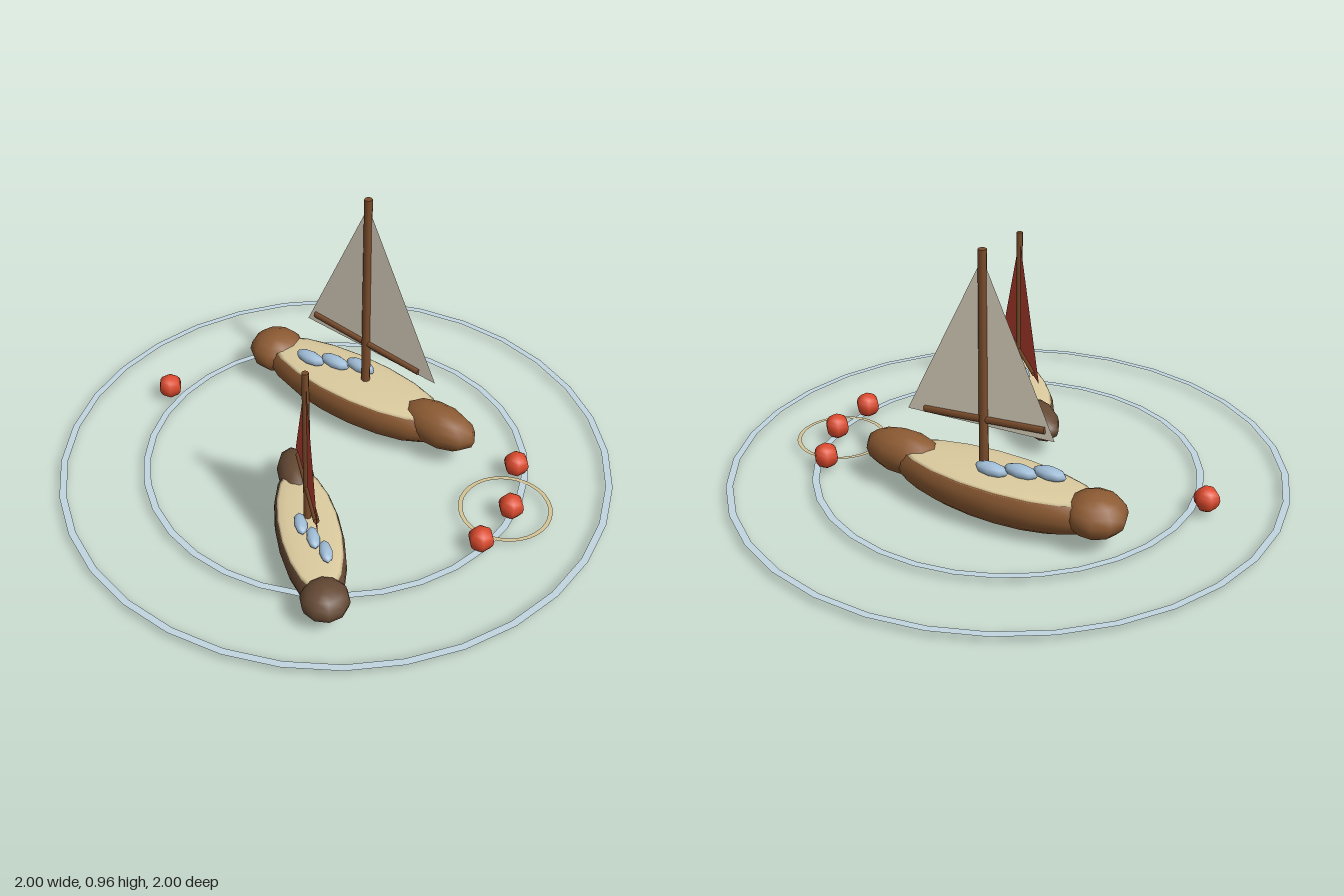
import * as THREE from 'three';

const mat = (name, color, side = THREE.FrontSide) => {
  const m = new THREE.MeshStandardMaterial({ color, side });
  m.name = name;
  return m;
};

function add(parent, name, geometry, material, x = 0, y = 0, z = 0) {
  const mesh = new THREE.Mesh(geometry, material);
  mesh.name = name;
  mesh.position.set(x, y, z);
  parent.add(mesh);
  return mesh;
}

const ellipsoid = (rx, ry, rz, w = 10, h = 8) => new THREE.SphereGeometry(1, w, h).scale(rx, ry, rz);

// One boat, long axis on local x, mast at the origin
function createBoat(name, hullMat, sailMat, mats) {
  const boat = new THREE.Group();
  boat.name = name;

  // Rounded hull cut off at deck height, with a slightly domed deck on top
  const cut = Math.acos(0.42);
  const hull = new THREE.SphereGeometry(1, 18, 8, 0, Math.PI * 2, cut, Math.PI - cut).scale(0.425, 0.12, 0.142);
  add(boat, 'hull', hull, hullMat, -0.05, 0.126, 0);
  add(boat, 'deck', ellipsoid(0.388, 0.02, 0.131, 18, 8), mats.deck, -0.05, 0.172, 0);

  // Swollen ends
  add(boat, 'roundEnd', ellipsoid(0.108, 0.077, 0.105), hullMat, -0.43, 0.134, 0);
  add(boat, 'longEnd', ellipsoid(0.16, 0.08, 0.083), hullMat, 0.33, 0.141, 0);

  // Mast and tilted boom
  add(boat, 'mast', new THREE.CylinderGeometry(0.015, 0.017, 0.785, 8), mats.wood, 0, 0.573, 0);
  const boom = add(boat, 'boom', new THREE.CylinderGeometry(0.013, 0.013, 0.475, 6), mats.wood, 0, 0.362, 0);
  boom.rotation.z = Math.PI / 2 - 0.1;

  // Triangular sail in the plane of the mast
  const sail = new THREE.Shape([
    new THREE.Vector2(-0.272, 0.352),
    new THREE.Vector2(0.308, 0.32),
    new THREE.Vector2(0, 0.935),
  ]);
  add(boat, 'sail', new THREE.ShapeGeometry(sail), sailMat);

  // Cargo lying on the deck in a diagonal row
  for (const [x, z] of [[-0.234, 0.038], [-0.145, 0], [-0.053, -0.038]]) {
    add(boat, 'cargo', ellipsoid(0.064, 0.024, 0.029, 8, 6), mats.cargo, x, 0.205, z);
  }
  return boat;
}

export function createModel() {
  const model = new THREE.Group();
  model.name = 'boatsOnWater';
  const mats = {
    deck: mat('paleWood', 0xdccb9f),
    wood: mat('mastWood', 0x7a4c2b),
    cargo: mat('paleBlue', 0xa2bfd9),
  };
  const hullBrown = mat('hullBrown', 0x8d5b33);
  const hullDark = mat('darkHullBrown', 0x654934);
  const canvas = mat('canvas', 0xe6ddc8, THREE.DoubleSide);
  const redCloth = mat('redCloth', 0xc04234, THREE.DoubleSide);
  const buoyRed = mat('buoyRed', 0xdb4a2d);
  const ripple = mat('rippleBlue', 0xc2d7e1, THREE.DoubleSide);
  const rope = mat('ropeTan', 0xd6c496, THREE.DoubleSide);

  // Large and small boat
  const large = createBoat('largeBoat', hullBrown, canvas, mats);
  large.position.set(-0.14, 0, -0.235);
  large.rotation.y = 0.29;
  const small = createBoat('smallBoat', hullDark, redCloth, mats);
  small.position.set(0.307, 0, 0.332);
  small.rotation.y = Math.PI - 0.436;
  small.scale.setScalar(0.785);
  model.add(large, small);

  // Flat water rings and the rope ring
  const ring = (name, outer, width, material, x, y, z) =>
    add(model, name, new THREE.RingGeometry(outer - width, outer, 32).rotateX(-Math.PI / 2), material, x, y, z);
  ring('outerRipple', 1, 0.025, ripple, 0, 0.03, 0);
  ring('innerRipple', 0.7, 0.025, ripple, 0, 0.03, 0);
  ring('ropeRing', 0.165, 0.015, rope, 0.57, 0.034, -0.322);

  // Floating buoys
  const buoy = new THREE.SphereGeometry(0.046, 6, 8).rotateY(Math.PI / 2);
  for (const [x, z] of [[0.444, -0.48], [0.6, -0.32], [0.663, -0.132], [-0.665, 0.31]]) {
    add(model, 'buoy', buoy, buoyRed, x, 0.069, z);
  }
  return model;
}
